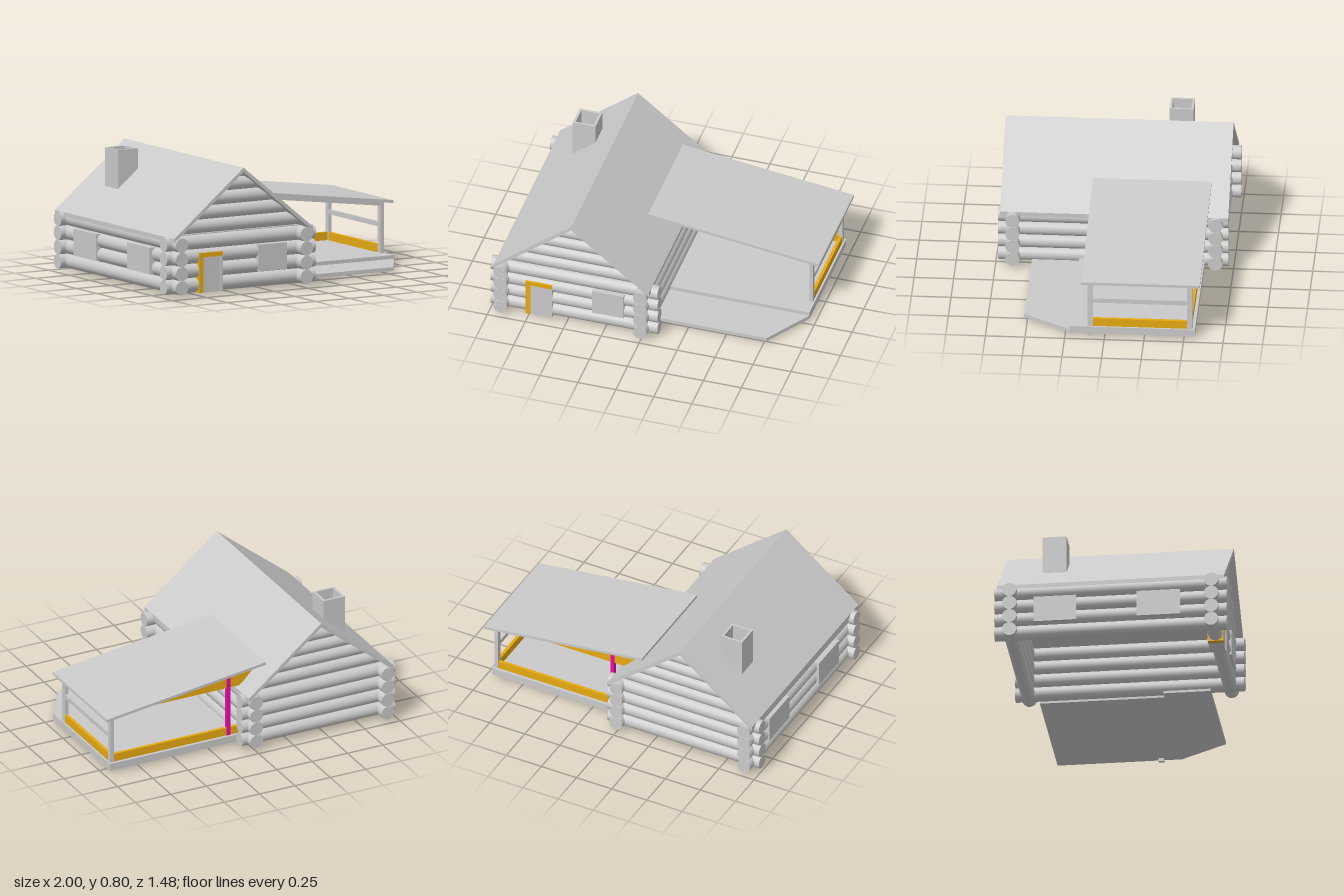
import * as THREE from 'three';

export function createModel() {
  const model = new THREE.Group();
  const grey = new THREE.MeshStandardMaterial({ name: 'plain grey', color: 0xcacaca });
  const orange = new THREE.MeshStandardMaterial({ name: 'orange trim', color: 0xe6a911 });
  const magenta = new THREE.MeshStandardMaterial({ name: 'magenta post', color: 0xe60caa });

  function add(name, geometry, material = grey) {
    const mesh = new THREE.Mesh(geometry, material);
    mesh.name = name;
    model.add(mesh);
    return mesh;
  }
  // Box given by its minimum and maximum on each axis
  function box(name, x0, x1, y0, y1, z0, z1, material) {
    const g = new THREE.BoxGeometry(x1 - x0, y1 - y0, z1 - z0);
    g.translate((x0 + x1) / 2, (y0 + y1) / 2, (z0 + z1) / 2);
    return add(name, g, material);
  }
  const toShape = (pts) => new THREE.Shape(pts.map(([x, y]) => new THREE.Vector2(x, y)));
  // Profile in the xy plane, extruded from z0 to z1
  function upright(name, pts, z0, z1, material) {
    const g = new THREE.ExtrudeGeometry(toShape(pts), { depth: z1 - z0, bevelEnabled: false });
    return add(name, g.translate(0, 0, z0), material);
  }
  // Plan shape with (x, -z) points, extruded from y0 to y1
  function flat(name, shape, y0, y1) {
    const g = new THREE.ExtrudeGeometry(shape, { depth: y1 - y0, bevelEnabled: false });
    return add(name, g.rotateX(-Math.PI / 2).translate(0, y0, 0));
  }

  // Four courses of wall logs, crossing at the corners
  const r = 0.0455;
  for (let i = 0; i < 4; i++) {
    const y = 0.07 + i * 0.0905;
    for (const [z, x1] of [[0.64, 0.1], [-0.64, 0.08]]) {
      const g = new THREE.CylinderGeometry(r, r, x1 + 1, 20).rotateZ(Math.PI / 2);
      add('crossLog', g.translate((x1 - 1) / 2, y, z));
    }
    for (const [x, z0] of [[-0.92, -0.74], [0, -0.72]]) {
      const g = new THREE.CylinderGeometry(r, r, 0.735 - z0, 20).rotateX(Math.PI / 2);
      add('sideLog', g.translate(x, y, (0.735 + z0) / 2));
    }
  }

  // Main roof, an inverted V of even thickness
  const ridgeX = -0.457, ridgeY = 0.8, slope = 0.81, halfSpan = 0.512, thick = 0.028;
  const eaveY = ridgeY - slope * halfSpan;
  upright('mainRoof', [
    [ridgeX - halfSpan, eaveY], [ridgeX - halfSpan, eaveY - thick], [ridgeX, ridgeY - thick],
    [ridgeX + halfSpan, eaveY - thick], [ridgeX + halfSpan, eaveY], [ridgeX, ridgeY],
  ], -0.72, 0.72);
  box('ceiling', -0.92, 0, 0.385, 0.393, -0.64, 0.64);

  // Gable logs, with their ends cut to the roof slope
  for (const z of [-0.64, 0.64]) {
    for (let i = 0; i < 5; i++) {
      const radius = i === 4 ? 0.025 : 0.0435;
      const y = i === 4 ? 0.757 : 0.44 + i * 0.0855;
      const g = new THREE.CylinderGeometry(radius, radius, 2, 20).rotateZ(Math.PI / 2).translate(0, y, z);
      const p = g.attributes.position;
      for (let k = 0; k < p.count; k++) {
        const half = Math.max(0, (ridgeY - thick * 0.6 - p.getY(k)) / slope);
        p.setX(k, ridgeX + Math.sign(p.getX(k)) * half);
      }
      // Cap centres follow the cut as well, since they keep the sign of their side
      add('gableLog', g);
    }
  }

  // Hollow square chimney
  const stack = toShape([[-0.76, 0.305], [-0.61, 0.305], [-0.61, 0.457], [-0.76, 0.457]]);
  stack.holes.push(toShape([[-0.745, 0.32], [-0.745, 0.442], [-0.625, 0.442], [-0.625, 0.32]]));
  flat('chimney', stack, 0.54, 0.803);

  // Door with its frame, and the windows
  box('door', -0.735, -0.61, 0.022, 0.247, 0.59, 0.685);
  box('doorJambRight', -0.61, -0.593, 0.022, 0.247, 0.59, 0.69);
  box('doorJambLeft', -0.765, -0.735, 0.022, 0.247, 0.59, 0.69, orange);
  box('doorLintel', -0.765, -0.593, 0.247, 0.275, 0.59, 0.69, orange);
  box('frontWindow', -0.33, -0.12, 0.125, 0.295, 0.59, 0.69);
  box('sideWindow', -0.972, -0.87, 0.125, 0.295, -0.49, -0.22);
  box('sideWindow', -0.98, -0.87, 0.125, 0.295, 0.165, 0.44);

  // Porch deck and the lower step with its slanted corner
  box('deck', 0.03, 0.96, 0.02, 0.068, -0.57, 0.22);
  flat('step', toShape([[-0.03, -0.52], [0.77, -0.52], [0.96, -0.22], [-0.03, -0.22]]), 0.02, 0.044);

  // Porch posts, rails and kick boards
  box('frontPost', 0.925, 0.95, 0, 0.395, 0.075, 0.11);
  box('backPost', 0.925, 0.95, 0.068, 0.395, -0.555, -0.52);
  box('wallPost', 0.1, 0.125, 0.068, 0.475, -0.555, -0.525, magenta);
  box('middleRail', 0.927, 0.948, 0.234, 0.264, -0.52, 0.075);
  box('topRail', 0.927, 0.948, 0.37, 0.388, -0.52, 0.075);
  box('sideKickBoard', 0.927, 0.948, 0.068, 0.12, -0.52, 0.075, orange);
  box('backKickBoard', 0.04, 0.925, 0.068, 0.12, -0.55, -0.53, orange);

  // Lean-to roof, its rafters and the infill beneath it
  const leanY = (x) => 0.55 - 0.13 * (x + 0.125);
  const strip = (x0, x1, top, bottom) => [
    [x0, leanY(x0) - bottom], [x1, leanY(x1) - bottom], [x1, leanY(x1) - top], [x0, leanY(x0) - top],
  ];
  upright('porchRoof', strip(-0.125, 1, 0, 0.018), -0.603, 0.145);
  for (const z of [-0.555, 0.075]) upright('rafter', strip(-0.06, 0.95, 0.018, 0.044), z, z + 0.035);
  upright('porchInfill', [
    [0.03, 0.4], [0.74, 0.4], [0.03, leanY(0.03) - 0.042], [-0.07, leanY(-0.07) - 0.042],
  ], -0.548, -0.53, orange);

  return model;
}
